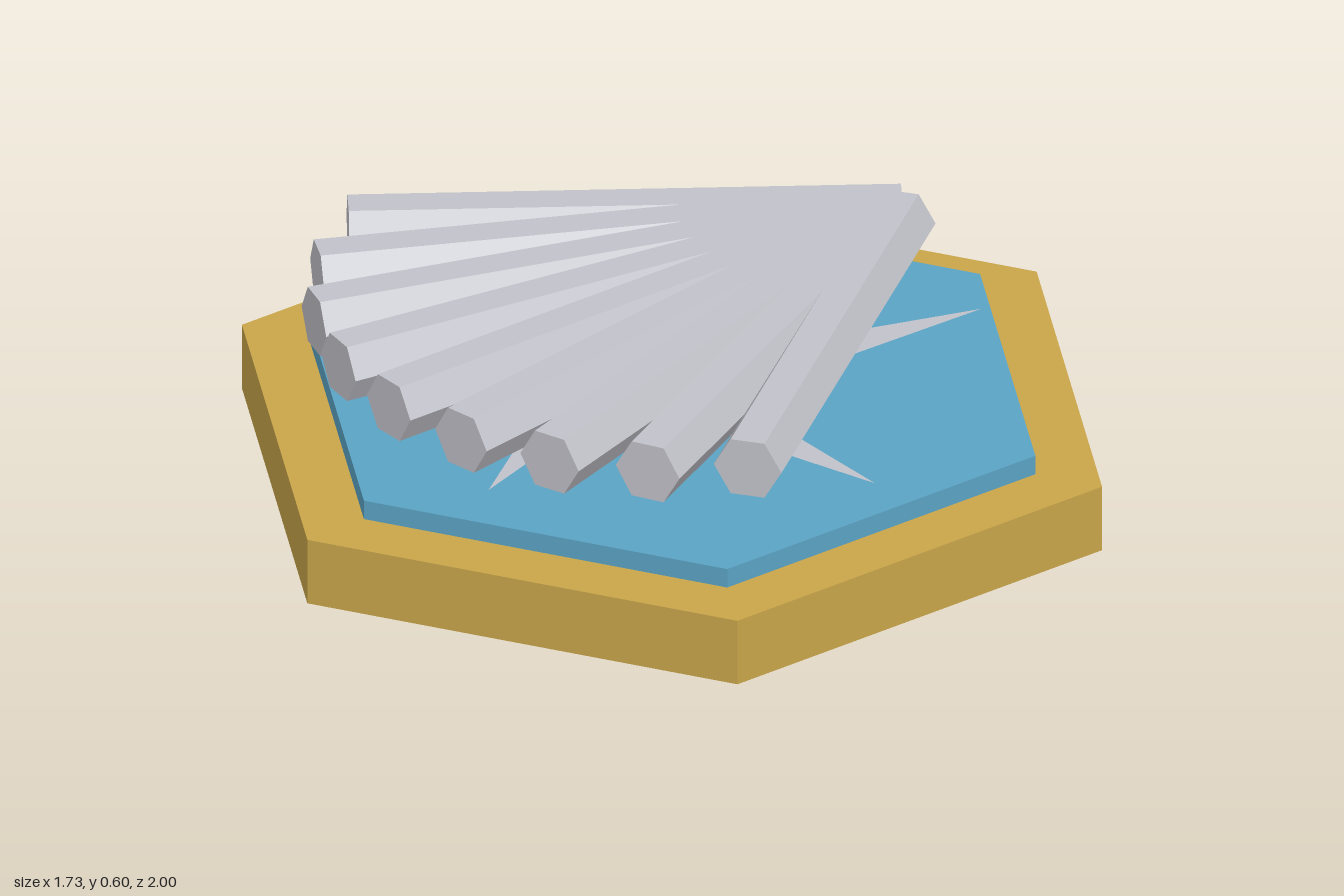
import * as THREE from 'three';
import { RoundedBoxGeometry } from 'three/addons/geometries/RoundedBoxGeometry.js';

const material = (name, color, flatShading = true) => {
  const m = new THREE.MeshStandardMaterial({ color, flatShading });
  m.name = name;
  return m;
};

export function createModel() {
  const gold = material('gold', 0xc9a54a);
  const blue = material('blue', 0x5ba3c4);
  const silver = material('silver', 0xc1c1c9);
  const charcoal = material('charcoal', 0x33383e, false);

  const model = new THREE.Group();
  model.name = 'hexBadge';
  const add = (parent, name, geometry, mat) => {
    const mesh = new THREE.Mesh(geometry, mat);
    mesh.name = name;
    parent.add(mesh);
    return mesh;
  };

  // Rounded foot under the plate
  add(model, 'foot', new RoundedBoxGeometry(0.93, 0.2, 0.93, 4, 0.035), charcoal).position.y = 0.1;

  // Stacked hexagonal plates, corners pointing to the front and back
  const hexPlate = (name, radius, bottom, top, mat) => {
    const plate = add(model, name, new THREE.CylinderGeometry(radius, radius, top - bottom, 6), mat);
    plate.position.y = (top + bottom) / 2;
  };
  hexPlate('outerPlate', 1, 0.13, 0.285, gold);
  hexPlate('innerPlate', 0.845, 0.27, 0.33, blue);

  // Flat five-pointed pinwheel star: one upward triangle per point
  const corners = [];
  const polar = (r, a) => [r * Math.cos(a), 0, r * Math.sin(a)];
  for (let i = 0; i < 5; i++) {
    const a = (i * Math.PI * 2) / 5;
    corners.push(0, 0, 0, ...polar(0.26, a + Math.PI / 5), ...polar(0.71, a));
  }
  const star = new THREE.BufferGeometry();
  star.setAttribute('position', new THREE.Float32BufferAttribute(corners, 3));
  star.computeVertexNormals();
  add(model, 'star', star, silver).position.y = 0.392;

  // Fan of nine hexagonal rods from one pivot, tips on a circle about the centre
  const fan = new THREE.Group();
  fan.name = 'fan';
  const pivotZ = -0.63;
  fan.position.set(0, 0.535, pivotZ);
  model.add(fan);
  for (let i = -4; i <= 4; i++) {
    const a = THREE.MathUtils.degToRad(i * 16);
    const x = 0.777 * Math.sin(a);
    const z = 0.777 * Math.cos(a) - pivotZ;
    const length = Math.hypot(x, z);
    const rod = new THREE.CylinderGeometry(0.076, 0.076, length, 6)
      .rotateY(Math.PI / 6)
      .rotateX(Math.PI / 2)
      .translate(0, 0, length / 2);
    add(fan, 'fanRod', rod, silver).rotation.y = Math.atan2(x, z);
  }

  return model;
}
